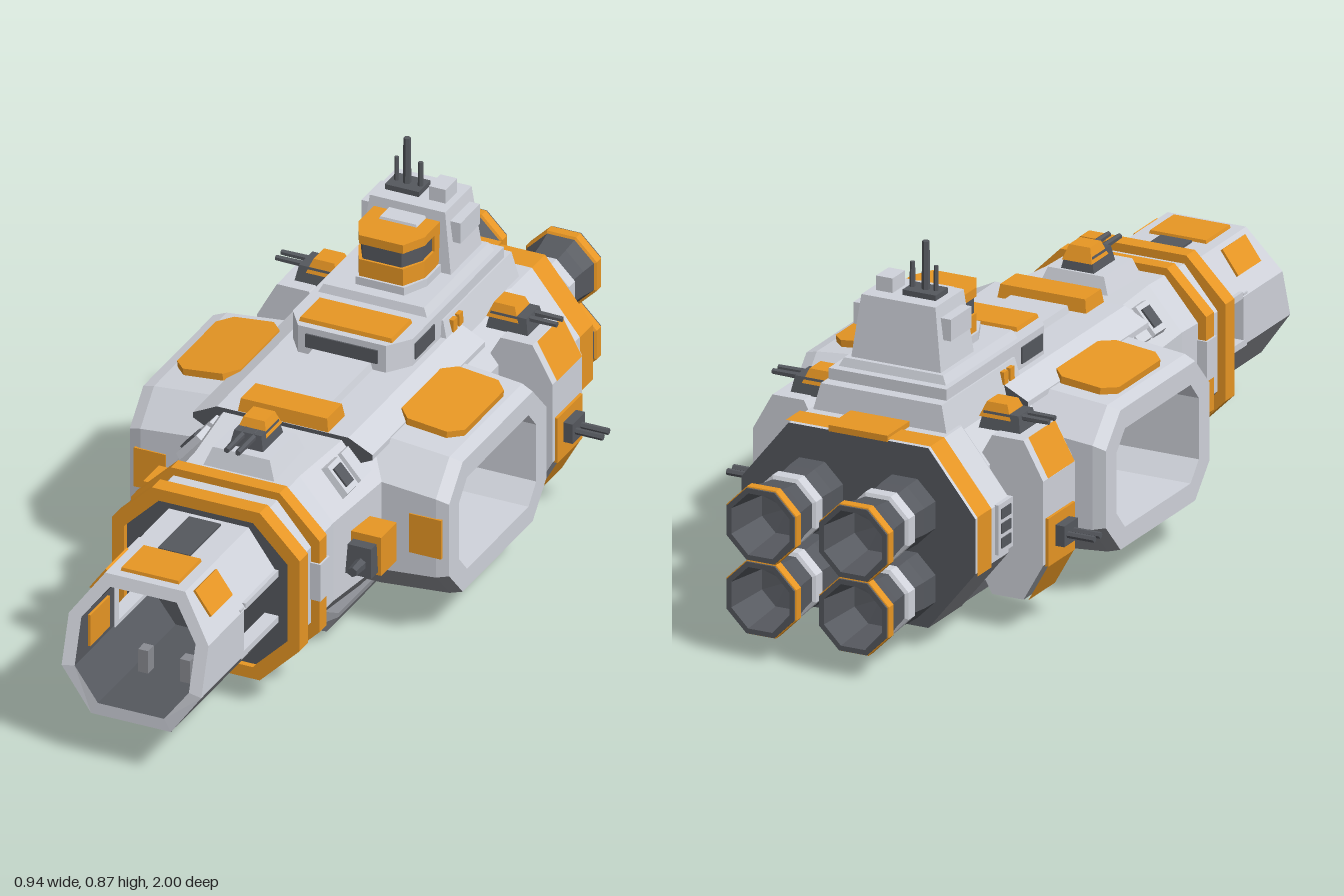
import * as THREE from 'three';

const paint = (name, color, extra = {}) => {
  const m = new THREE.MeshStandardMaterial({ color, flatShading: true, ...extra });
  m.name = name;
  return m;
};
const light = paint('light grey hull', 0xd0d3db);
const belly = paint('belly grey', 0x8a8c92);
const dark = paint('dark metal', 0x55585e);
const orange = paint('orange panels', 0xfca428);
const cream = paint('cream hangar wall', 0xf4ead8, { side: THREE.DoubleSide });

// Octagonal section at depth z: half width, bottom, top, corner cut in x and y
function oct(z, hw, y0, y1, cx, cy, zAt = () => z) {
  const t = hw - cx;
  return [[t, y0], [hw, y0 + cy], [hw, y1 - cy], [t, y1], [-t, y1], [-hw, y1 - cy], [-hw, y0 + cy], [-t, y0]]
    .map(([x, y]) => new THREE.Vector3(x, y, zAt(y)));
}
const ALL = [0, 1, 2, 3, 4, 5, 6, 7];
const LOW = [0, 6, 7];

// Skin between sections (front to back), keeping only the listed faces of each segment
function skin(sections, { faces = ALL, caps = false } = {}) {
  const p = [];
  const tri = (...v) => v.forEach((q) => p.push(q.x, q.y, q.z));
  for (let s = 0; s + 1 < sections.length; s++) {
    const A = sections[s], B = sections[s + 1];
    for (const i of faces) {
      const j = (i + 1) % 8;
      tri(A[i], B[i], B[j]);
      tri(A[i], B[j], A[j]);
    }
  }
  if (caps) {
    const A = sections[0], B = sections[sections.length - 1];
    for (let i = 1; i < 7; i++) {
      tri(A[0], A[i], A[i + 1]);
      tri(B[0], B[i + 1], B[i]);
    }
  }
  const g = new THREE.BufferGeometry();
  g.setAttribute('position', new THREE.Float32BufferAttribute(p, 3));
  g.computeVertexNormals();
  return g;
}

// Box whose top face is scaled by tx, tz
function taperBox(w, h, d, tx = 1, tz = 1) {
  const g = new THREE.BoxGeometry(w, h, d);
  const p = g.attributes.position;
  for (let i = 0; i < p.count; i++) {
    if (p.getY(i) > 0) p.setXYZ(i, p.getX(i) * tx, p.getY(i), p.getZ(i) * tz);
  }
  g.computeVertexNormals();
  return g;
}

// Vertical prism from mirrored plan points [x, z]
function prism(half, y0, y1) {
  const pts = [...half, ...half.map(([x, z]) => [-x, z]).reverse()];
  const shape = new THREE.Shape(pts.map(([x, z]) => new THREE.Vector2(x, -z)));
  return new THREE.ExtrudeGeometry(shape, { depth: y1 - y0, bevelEnabled: false })
    .rotateX(-Math.PI / 2).translate(0, y0, 0);
}

export function createModel() {
  const root = new THREE.Group();
  root.name = 'spaceship';
  const add = (name, geo, mat, pos = [0, 0, 0], parent = root) => {
    const m = new THREE.Mesh(geo, mat);
    m.name = name;
    m.position.set(...pos);
    parent.add(m);
    return m;
  };
  // Box given by its limits
  const block = (name, mat, x0, x1, y0, y1, z0, z1, tx = 1, tz = 1) =>
    add(name, taperBox(x1 - x0, y1 - y0, Math.abs(z1 - z0), tx, tz), mat, [(x0 + x1) / 2, (y0 + y1) / 2, (z0 + z1) / 2]);
  // Octagonal hull with a darker underside
  const hull = (name, sections, caps = true) => {
    add(name, skin(sections, { faces: [1, 2, 3, 4, 5] }), light);
    add(name + 'Underside', skin(sections, { faces: LOW }), belly);
    if (caps) add(name + 'Ends', skin(sections, { faces: [], caps }), dark);
  };

  // Hollow nose with raked mouth and open side windows
  const rake = (y) => 1 - Math.max(0, y - 0.22) * 0.32;
  const out = (z, f) => oct(z, 0.175, 0.122, 0.448, 0.075, 0.105, f);
  const inn = (z, f) => oct(z, 0.143, 0.152, 0.42, 0.06, 0.08, f);
  hull('nose', [out(0, rake), out(0.78)], false);
  add('noseRear', skin([out(0.78), out(0.59)], { faces: [2, 3, 4] }), light);
  add('noseRearUnderside', skin([out(0.78), out(0.59)], { faces: LOW }), belly);
  add('noseLip', skin([inn(0, rake), out(0, rake)]), light);
  add('noseInside', skin([inn(0.78), inn(0, rake)]), dark);
  add('noseInsideRear', skin([inn(0.59), inn(0.78)], { faces: [0, 2, 3, 4, 6, 7] }), dark);
  block('noseTopPanel', orange, -0.075, 0.075, 0.44, 0.456, 0.785, 0.905, 0.95, 0.95);
  block('noseSlot', dark, -0.04, 0.04, 0.446, 0.453, 0.62, 0.78);

  // Front hull and its two octagonal collars
  hull('frontHull', [oct(0.6, 0.215, 0.09, 0.48, 0.085, 0.1), oct(0.4, 0.215, 0.085, 0.487, 0.085, 0.1), oct(0.15, 0.24, 0.08, 0.495, 0.085, 0.1)]);
  const collar = (name, z, d, hw) => {
    const o = (q) => oct(q, hw, 0.285 - hw * 0.92, 0.285 + hw * 0.92, 0.1, 0.1);
    const i = (q) => oct(q, hw - 0.03, 0.315 - hw * 0.92, 0.255 + hw * 0.92, 0.087, 0.087);
    add(name, skin([i(z - d), i(z), o(z), o(z - d), i(z - d)]), orange);
  };
  collar('frontCollar', 0.615, 0.042, 0.235);
  collar('rearCollar', 0.515, 0.037, 0.236);

  // Hangar tunnel running across the ship
  const turnSide = (m) => { m.rotation.y = Math.PI / 2; m.position.z = -0.065; };
  const podOut = [oct(0.4, 0.25, 0.11, 0.445, 0.07, 0.075), oct(0.37, 0.257, 0.103, 0.455, 0.07, 0.075),
    oct(0.2, 0.26, 0.09, 0.472, 0.07, 0.075), oct(-0.2, 0.26, 0.09, 0.472, 0.07, 0.075),
    oct(-0.37, 0.257, 0.103, 0.455, 0.07, 0.075), oct(-0.4, 0.25, 0.11, 0.445, 0.07, 0.075)];
  const podIn = (z) => oct(z, 0.198, 0.158, 0.395, 0.04, 0.045);
  turnSide(add('hangarShell', skin(podOut, { faces: [1, 2, 3, 4, 5] }), light));
  turnSide(add('hangarUnderside', skin(podOut, { faces: LOW }), belly));
  turnSide(add('hangarInside', skin([podIn(-0.4), podIn(0.4)]), light));
  turnSide(add('hangarFrames', skin([podIn(0.4), podOut[0]]), light));
  turnSide(add('hangarFramesFar', skin([podOut[5], podIn(-0.4)]), light));
  turnSide(add('hangarWall', new THREE.PlaneGeometry(0.39, 0.235), cream, [0, 0.277, 0]));

  // Spine deck and keel
  hull('spine', [oct(0.22, 0.225, 0.43, 0.503, 0.06, 0.03), oct(-0.36, 0.225, 0.43, 0.503, 0.06, 0.03)]);
  add('keel', skin([oct(0.34, 0.14, 0.06, 0.12, 0.03, 0.01), oct(0.27, 0.165, 0.02, 0.12, 0.03, 0.045),
    oct(-0.55, 0.165, 0.02, 0.12, 0.03, 0.045), oct(-0.62, 0.15, 0.06, 0.12, 0.03, 0.01)], { caps: true }), belly);
  add('keelBay', skin([oct(0.5, 0.09, 0.07, 0.12, 0.02, 0.01), oct(0.47, 0.085, 0, 0.12, 0.02, 0.025),
    oct(0.33, 0.085, 0, 0.12, 0.02, 0.025), oct(0.26, 0.085, 0.02, 0.12, 0.02, 0.02)], { caps: true }), belly);

  // Rear hull and orange stern band
  hull('midRearHull', [oct(-0.28, 0.235, 0.06, 0.49, 0.08, 0.1), oct(-0.6, 0.235, 0.05, 0.49, 0.08, 0.1)]);
  hull('sternHull', [oct(-0.55, 0.25, 0.06, 0.478, 0.1, 0.14), oct(-0.59, 0.298, 0.05, 0.482, 0.12, 0.15), oct(-0.75, 0.298, 0.05, 0.482, 0.12, 0.15)]);
  add('sternBand', skin([-0.685, -0.752].map((z) => oct(z, 0.304, 0.046, 0.488, 0.12, 0.15)), { faces: [1, 2, 3, 4, 5] }), orange);
  block('sternTopPanel', orange, -0.075, 0.075, 0.48, 0.495, -0.64, -0.753);

  // Four octagonal engines
  const lathe = (pts) => new THREE.LatheGeometry(pts.map(([r, s]) => new THREE.Vector2(r, s)), 8, Math.PI / 8).rotateX(-Math.PI / 2);
  for (const x of [-0.118, 0.118]) for (const y of [0.148, 0.325]) {
    const e = new THREE.Group();
    e.name = 'engine';
    e.position.set(x, y, -0.75);
    root.add(e);
    add('engineBell', lathe([[0.085, -0.01], [0.083, 0.05], [0.074, 0.12], [0.082, 0.18], [0.093, 0.235], [0.093, 0.25], [0.08, 0.25], [0.064, 0.13], [0, 0.12]]), dark, [0, 0, 0], e);
    add('engineCollar', lathe([[0.074, 0.095], [0.085, 0.1], [0.085, 0.13], [0.074, 0.135]]), light, [0, 0, 0], e);
    add('engineRim', lathe([[0.088, 0.218], [0.096, 0.222], [0.096, 0.244], [0.09, 0.246]]), orange, [0, 0, 0], e);
  }

  // Gun turret aiming along its own +z
  const turret = (name, x, y, z, turn, reach) => {
    const t = new THREE.Group();
    t.name = name;
    t.position.set(x, y, z);
    t.rotation.y = turn;
    root.add(t);
    add('turretBase', taperBox(0.085, 0.04, 0.105, 0.8, 0.85), dark, [0, 0.018, 0], t);
    add('turretCap', taperBox(0.076, 0.034, 0.08, 0.7, 0.65), orange, [0, 0.041, -0.014], t);
    for (const s of [-0.014, 0.014]) {
      add('barrel', new THREE.CylinderGeometry(0.007, 0.009, reach, 6).rotateX(Math.PI / 2), dark, [s, 0.03, reach / 2], t);
    }
  };
  block('foreTurretMount', light, -0.095, 0.095, 0.47, 0.53, 0.28, 0.45, 0.75, 0.8);
  turret('foreTurret', 0, 0.528, 0.355, 0, 0.125);

  // Parts mirrored on both sides
  const pad = prism([[0.05, -0.132], [0.08, -0.1], [0.08, 0.1], [0.05, 0.132]], -0.012, 0.012);
  for (const s of [-1, 1]) {
    const side = (name, mat, x0, x1, ...r) => block(name, mat, Math.min(s * x0, s * x1), Math.max(s * x0, s * x1), ...r);
    side('noseSill', light, 0.14, 0.175, 0.222, 0.238, 0.59, 0.79);
    side('noseLintel', light, 0.14, 0.175, 0.34, 0.356, 0.59, 0.77);
    side('nosePost', light, 0.14, 0.174, 0.225, 0.35, 0.775, 0.795);
    side('noseFloorClamp', belly, 0.04, 0.065, 0.15, 0.21, 0.8, 0.83);
    side('noseInnerStrip', orange, 0.136, 0.142, 0.25, 0.33, 0.83, 0.93);
    add('noseShoulderPanel', new THREE.BoxGeometry(0.07, 0.009, 0.11), orange, [s * 0.129, 0.41, 0.845]).rotation.z = -s * 0.95;
    // Plain gap in the rear collar
    side('collarClasp', light, 0.2, 0.241, 0.25, 0.345, 0.473, 0.52);
    // Pod panels
    add('podTopPanel', pad, orange, [s * 0.28, 0.469, -0.078]).rotation.z = -s * 0.11;
    add('podBottomPanel', pad, orange, [s * 0.28, 0.093, -0.078]).rotation.z = s * 0.11;
    side('podFrontPanel', orange, 0.305, 0.385, 0.23, 0.33, 0.188, 0.196);
    // Forward side guns
    side('sideGunMount', orange, 0.2, 0.298, 0.232, 0.33, 0.245, 0.325);
    side('sideGunHousing', dark, 0.225, 0.29, 0.24, 0.312, 0.32, 0.36, 0.9, 0.7);
    add('sideGunBarrel', new THREE.CylinderGeometry(0.012, 0.016, 0.06, 6).rotateX(Math.PI / 2), dark, [s * 0.262, 0.27, 0.37]);
    // Shoulder boxes on the upper chamfer, the front one vented
    for (const z of [0.3, 0.23]) {
      add('shoulderFrame', taperBox(0.085, 0.018, 0.06, 0.9, 0.9), light, [s * 0.183, 0.447, z]).rotation.z = -s * 0.85;
    }
    add('shoulderVent', new THREE.BoxGeometry(0.05, 0.008, 0.035), dark, [s * 0.19, 0.454, 0.3]).rotation.z = -s * 0.85;
    // Rear gun sponsons
    const sponson = [-0.408, -0.56].map((z) => oct(z, 0.09, 0.08, 0.462, 0.05, 0.09));
    add('sponson', skin(sponson, { faces: [1, 2, 3, 4, 5], caps: true }), light, [s * 0.28, 0, 0]);
    add('sponsonUnderside', skin(sponson, { faces: LOW }), belly, [s * 0.28, 0, 0]);
    const plate = [-0.42, -0.548].map((z) => oct(z, 0.096, 0.076, 0.467, 0.05, 0.09));
    add('sponsonUpperPanel', skin(plate, { faces: s > 0 ? [2] : [4] }), orange, [s * 0.28, 0, 0]);
    add('sponsonLowerPanel', skin(plate, { faces: s > 0 ? [0] : [6] }), orange, [s * 0.28, 0, 0]);
    side('sponsonSidePanel', orange, 0.368, 0.377, 0.165, 0.28, -0.42, -0.548);
    turret('sponsonTurret', s * 0.24, 0.462, -0.483, s * Math.PI / 2, 0.112);
    side('sideTurret', dark, 0.37, 0.4, 0.205, 0.255, -0.45, -0.515);
    for (const z of [-0.468, -0.497]) {
      add('sideTurretBarrel', new THREE.CylinderGeometry(0.008, 0.008, 0.1, 6).rotateZ(Math.PI / 2), dark, [s * 0.418, 0.23, z]);
    }
    // Stern side louvres
    side('louvreFrame', light, 0.29, 0.306, 0.215, 0.335, -0.585, -0.655);
    for (const y of [0.24, 0.275, 0.31]) side('louvre', dark, 0.3, 0.309, y - 0.012, y + 0.012, -0.597, -0.643);
    // Tower ears and deck lights
    side('towerEar', light, 0.09, 0.124, 0.66, 0.712, -0.44, -0.54);
    for (const z of [-0.325, -0.355]) side('deckLight', orange, 0.15, 0.168, 0.505, 0.535, z - 0.01, z + 0.01, 0.9, 1);
    side('deckRecess', dark, 0.148, 0.153, 0.515, 0.555, -0.15, -0.25);
  }

  // Superstructure, tower and bridge
  block('spinePanel', orange, -0.115, 0.115, 0.49, 0.535, 0.13, 0.22, 0.94, 0.85);
  block('spineRib', light, -0.08, 0.08, 0.49, 0.52, 0.12, -0.1, 0.9, 1);
  block('towerFoot', light, -0.175, 0.175, 0.46, 0.545, -0.28, -0.65, 0.88, 0.95);
  add('lowerDeck', prism([[0.15, -0.61], [0.15, -0.14], [0.11, -0.085]], 0.48, 0.572), light);
  block('lowerDeckPanel', orange, -0.12, 0.12, 0.56, 0.582, -0.1, -0.21, 0.95, 0.9);
  block('lowerDeckRecess', dark, -0.09, 0.09, 0.522, 0.556, -0.081, -0.088);
  block('upperDeck', light, -0.14, 0.14, 0.565, 0.592, -0.24, -0.59, 0.9, 0.95);
  block('tower', light, -0.115, 0.115, 0.585, 0.742, -0.41, -0.57, 0.82, 0.85);
  const bridge = (name, mat, y0, y1, g) =>
    add(name, prism([[0.083 + g, -0.45], [0.083 + g, -0.34], [0.055 + g, -0.285 + g]], y0, y1), mat);
  bridge('bridgeFoot', light, 0.585, 0.612, 0.006);
  bridge('bridgeLower', orange, 0.612, 0.655, 0);
  bridge('bridgeWindows', dark, 0.655, 0.695, -0.006);
  bridge('bridgeRoof', orange, 0.695, 0.717, 0);
  block('bridgePillars', orange, -0.083, 0.083, 0.65, 0.7, -0.39, -0.44);
  block('bridgeRoofCap', light, -0.05, 0.05, 0.71, 0.723, -0.37, -0.45, 0.9, 0.9);

  // Masts and sensor box
  for (const [x, r, top] of [[-0.034, 0.01, 0.87], [-0.06, 0.006, 0.815], [0, 0.007, 0.815]]) {
    add('mast', new THREE.CylinderGeometry(r * 0.85, r, top - 0.73, 6), dark, [x, (top + 0.73) / 2, -0.49]);
  }
  block('mastBase', dark, -0.075, 0.01, 0.735, 0.755, -0.46, -0.52);
  block('sensorBox', light, 0.035, 0.077, 0.735, 0.777, -0.46, -0.52);

  return root;
}
